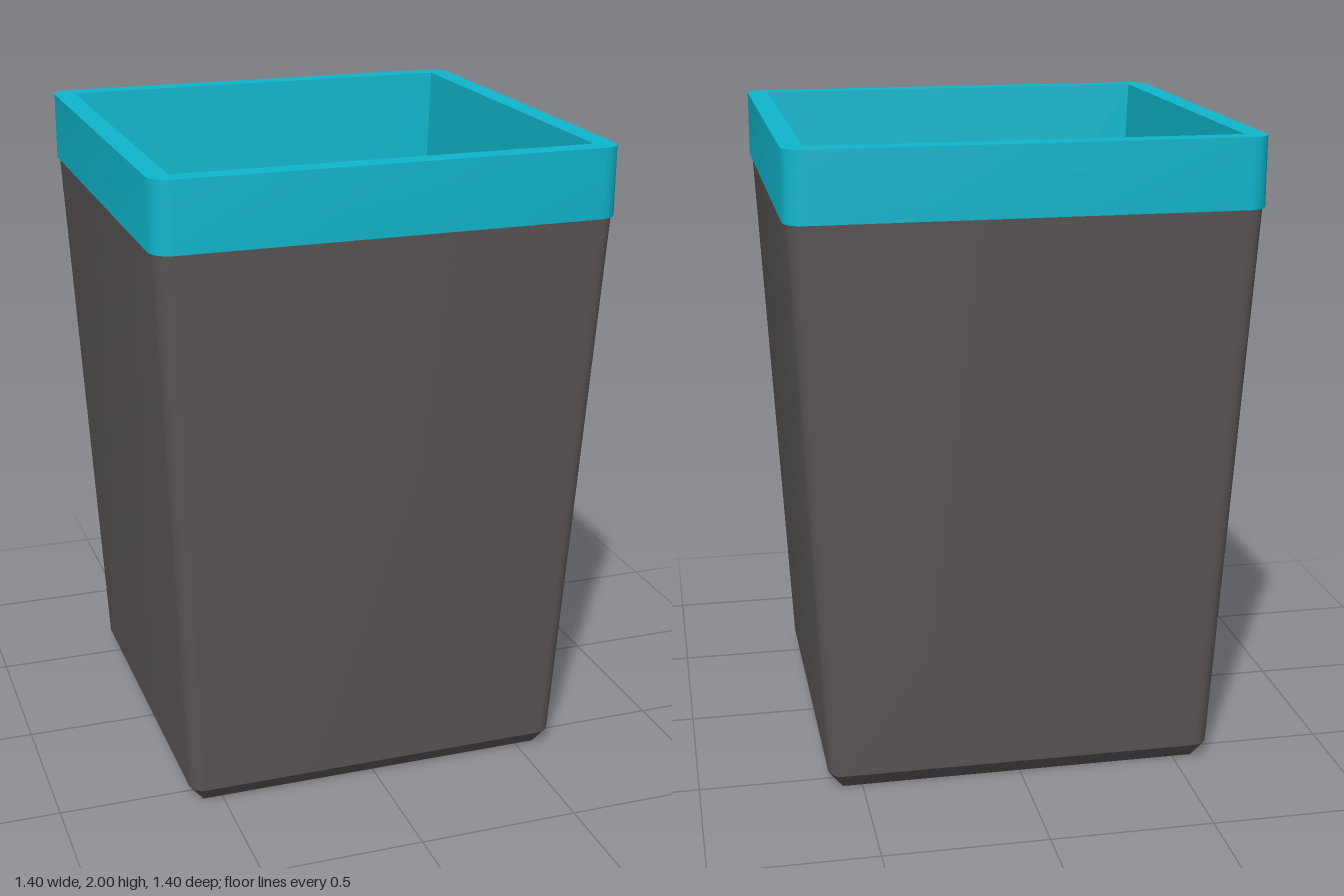
import * as THREE from 'three';
import { toCreasedNormals } from 'three/addons/utils/BufferGeometryUtils.js';

const CORNER_STEPS = 4;

// Rounded-square outline in the horizontal plane
function ring([half, radius, y]) {
  const points = [];
  const c = half - radius;
  for (let k = 0; k < 4; k++) {
    const sx = k === 0 || k === 3 ? 1 : -1;
    const sz = k < 2 ? 1 : -1;
    for (let i = 0; i <= CORNER_STEPS; i++) {
      const a = (k + i / CORNER_STEPS) * Math.PI / 2;
      points.push(new THREE.Vector3(sx * c + radius * Math.cos(a), y, sz * c + radius * Math.sin(a)));
    }
  }
  return points;
}

// Skin over successive rings of [half width, corner radius, height]
function loft(sections) {
  const rings = sections.map(ring);
  const positions = [];
  const area = new THREE.Triangle();
  const addTriangle = (a, b, c) => {
    if (area.set(a, b, c).getArea() < 1e-9) return;
    for (const p of [a, b, c]) positions.push(p.x, p.y, p.z);
  };
  for (let r = 0; r < rings.length - 1; r++) {
    const low = rings[r], high = rings[r + 1];
    for (let i = 0; i < low.length; i++) {
      const j = (i + 1) % low.length;
      addTriangle(low[i], high[i], low[j]);
      addTriangle(low[j], high[i], high[j]);
    }
  }
  const geometry = new THREE.BufferGeometry();
  geometry.setAttribute('position', new THREE.Float32BufferAttribute(positions, 3));
  return toCreasedNormals(geometry, Math.PI / 6);
}

function part(name, color, sections) {
  const mesh = new THREE.Mesh(loft(sections), new THREE.MeshStandardMaterial({ color }));
  mesh.name = name;
  return mesh;
}

export function createModel() {
  const model = new THREE.Group();
  model.name = 'wasteBin';

  // Tapered outer shell with a chamfered foot
  model.add(part('outerShell', 0x5a5555, [
    [0, 0, 0],
    [0.56, 0, 0],
    [0.605, 0.045, 0.055],
    [0.692, 0.052, 1.79],
  ]));

  // Rim band that folds over into the tapered inner liner and floor
  model.add(part('rimAndLiner', 0x0fb6cc, [
    [0.692, 0.052, 1.79],
    [0.7, 0.06, 1.79],
    [0.7, 0.06, 2],
    [0.634, 0, 2],
    [0.53, 0, 0.06],
    [0, 0, 0.06],
  ]));

  return model;
}
